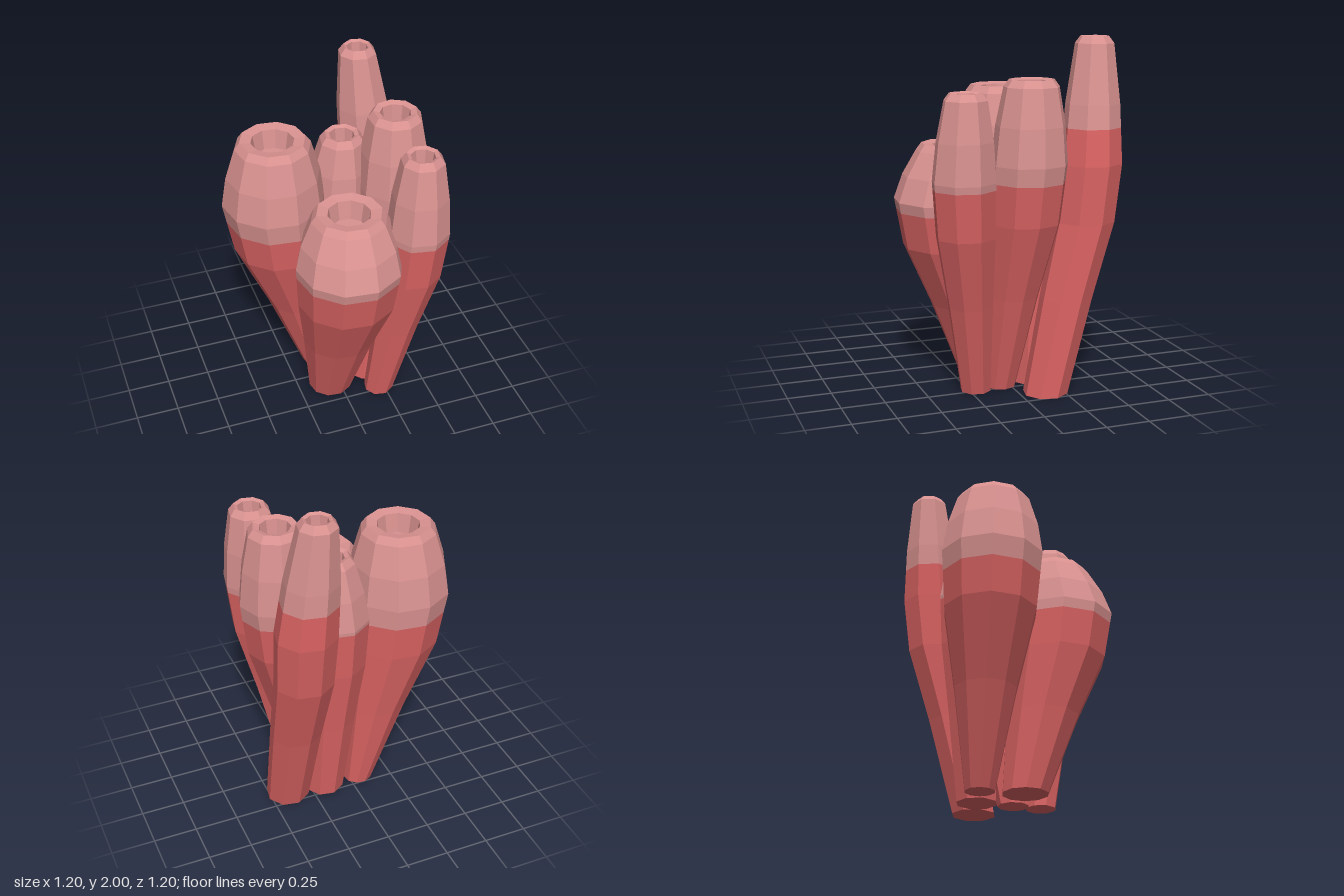
import * as THREE from 'three';

const red = new THREE.MeshStandardMaterial({ color: 0xd96262, flatShading: true });
red.name = 'coral red';
const pink = new THREE.MeshStandardMaterial({ color: 0xd99290, flatShading: true });
pink.name = 'pale pink';

// A ring is [x, y, z, radius]; blends set how far height, centre and radius have moved from a to b.
const blend = (a, b, height, centre, radius) =>
  [centre, height, centre, radius].map((t, i) => a[i] + (b[i] - a[i]) * t);

// Skins a stack of rings with flat facets, closing the first or last ring on request.
function loft(rings, sides, capStart, capEnd) {
  const pos = [];
  const point = ([x, y, z, r], i) => {
    const a = 0.2 + ((i % sides) / sides) * Math.PI * 2;
    return [x + r * Math.sin(a), y, z + r * Math.cos(a)];
  };
  const first = rings[0], last = rings[rings.length - 1];
  for (let i = 0; i < sides; i++) {
    for (let k = 0; k < rings.length - 1; k++) {
      const a = point(rings[k], i), b = point(rings[k], i + 1);
      const c = point(rings[k + 1], i + 1), d = point(rings[k + 1], i);
      pos.push(...a, ...b, ...c, ...a, ...c, ...d);
    }
    if (capStart) pos.push(...first.slice(0, 3), ...point(first, i + 1), ...point(first, i));
    if (capEnd) pos.push(...last.slice(0, 3), ...point(last, i), ...point(last, i + 1));
  }
  const geometry = new THREE.BufferGeometry();
  geometry.setAttribute('position', new THREE.Float32BufferAttribute(pos, 3));
  geometry.computeVertexNormals();
  return geometry;
}

// One tube: a narrow foot swells to the belly, then rounds in to the rim; red turns to pink at splitY.
function makeTube(name, sides, splitY, foot, belly, rim) {
  const [x, y, z, r] = rim;
  const outer = [
    foot,
    blend(foot, belly, 0.42, 0.46, 0.45),
    blend(foot, belly, 0.75, 0.87, 0.87),
    belly,
    blend(belly, rim, 0.5, 0.5, 0.33),
    rim,
  ];

  // extra ring on the outline where the colour changes
  const next = outer.findIndex((ring) => ring[1] > splitY);
  const below = outer[next - 1], above = outer[next];
  const t = (splitY - below[1]) / (above[1] - below[1]);
  const edge = blend(below, above, t, t, t);

  // rounded lip and the shallow hollow inside it
  const mouth = [
    [x, y + 0.04, z, r - 0.03],
    [x, y + 0.03, z, r * 0.57],
    [x, y - 0.08, z, r * 0.48],
  ];

  const stalk = new THREE.Mesh(loft([...outer.slice(0, next), edge], sides, true, false), red);
  stalk.name = 'stalk';
  const head = new THREE.Mesh(loft([edge, ...outer.slice(next), ...mouth], sides, false, true), pink);
  head.name = 'head';

  const tube = new THREE.Group();
  tube.name = name;
  tube.add(stalk, head);
  return tube;
}

export function createModel() {
  const group = new THREE.Group();
  group.name = 'tubeSponge';
  group.add(
    makeTube('leftTube', 10, 1.17, [-0.06, 0, -0.17, 0.085], [-0.31, 1.29, -0.145, 0.295], [-0.305, 1.65, -0.14, 0.215]),
    makeTube('frontTube', 10, 1.02, [-0.05, 0, 0.08, 0.13], [-0.01, 1.08, 0.3, 0.305], [0, 1.36, 0.26, 0.215]),
    makeTube('middleTube', 8, 1.2, [0.16, 0, -0.16, 0.118], [0.105, 1.22, -0.21, 0.195], [0.12, 1.57, -0.2, 0.13]),
    makeTube('rightTube', 9, 1.22, [0.19, 0, 0.05, 0.09], [0.385, 1.32, -0.05, 0.215], [0.385, 1.74, -0.06, 0.155]),
    makeTube('frontRightTube', 8, 1.2, [0.22, 0, 0.21, 0.088], [0.383, 1.24, 0.328, 0.18], [0.395, 1.68, 0.32, 0.122]),
    makeTube('tallBackTube', 8, 1.5, [0.39, 0, -0.15, 0.128], [0.362, 1.3, -0.425, 0.176], [0.305, 1.96, -0.463, 0.11]),
  );
  return group;
}
